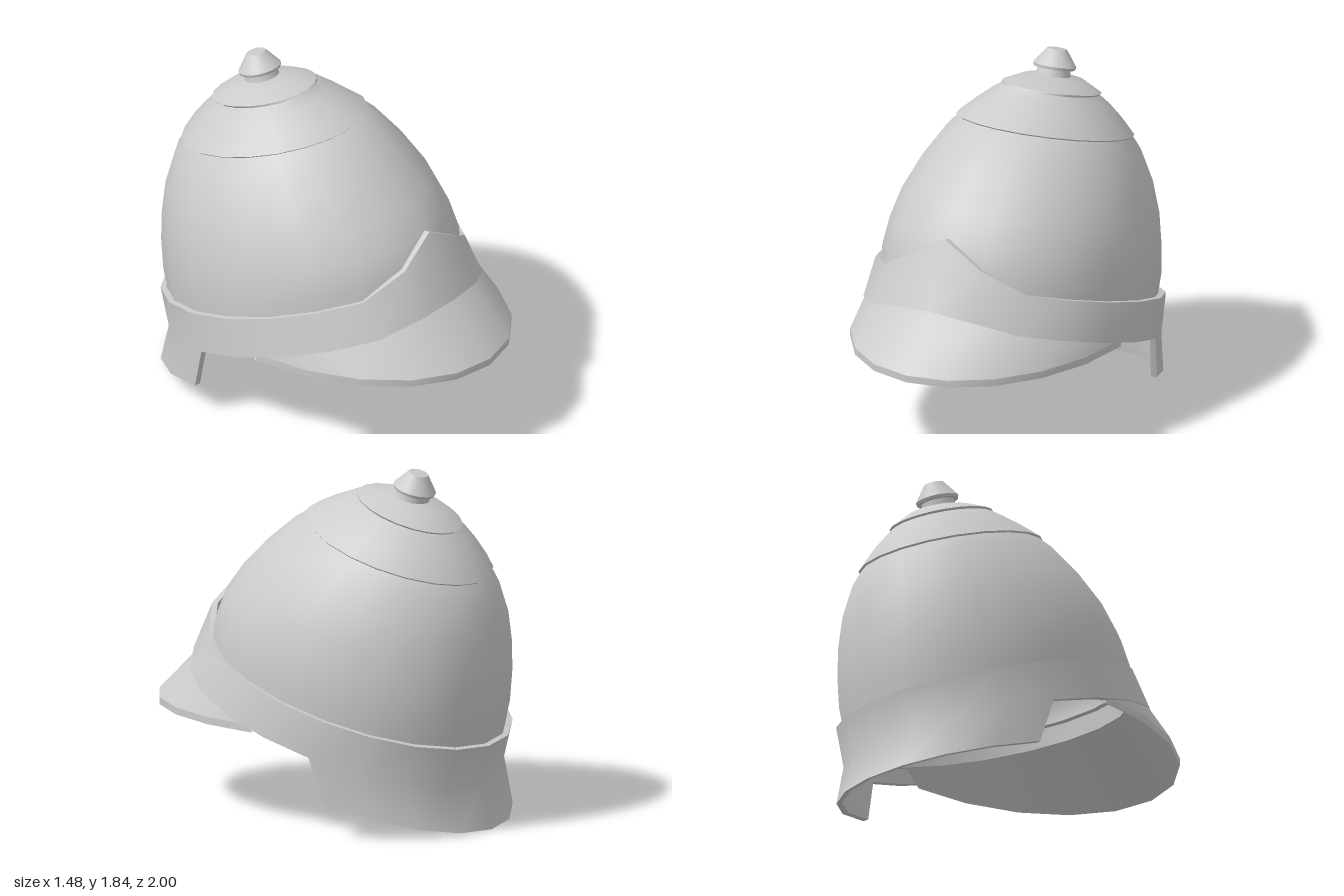
import * as THREE from 'three';
import { toCreasedNormals } from 'three/addons/utils/BufferGeometryUtils.js';

const STEP = Math.PI / 10; // 20 columns around the helmet
const T = 0.03; // thickness of band and neck guard

// Skin a row of cross-sections (lists of [x, y, z]).
// wrap joins the last section to the first; loop closes each section.
function loft(sections, { wrap = true, loop = true, crease = 0.75 } = {}) {
  const n = sections[0].length, pos = [];
  for (let i = 0; i < sections.length - (wrap ? 0 : 1); i++) {
    const s = sections[i], t = sections[(i + 1) % sections.length];
    for (let j = 0; j < n - (loop ? 0 : 1); j++) {
      const k = (j + 1) % n;
      pos.push(...s[j], ...t[j], ...t[k], ...s[j], ...t[k], ...s[k]);
    }
  }
  const geo = new THREE.BufferGeometry();
  geo.setAttribute('position', new THREE.Float32BufferAttribute(pos, 3));
  return toCreasedNormals(geo, crease);
}

// Point of an ellipse seen from above; y is a rule of z
function onEllipse(k, zc, h, w, yRule) {
  const z = zc + h * Math.cos(k * STEP);
  return [w * Math.sin(k * STEP), yRule(z), z];
}

const columns = (from, to, fn) =>
  Array.from({ length: to - from + 1 }, (_, i) => fn(from + i));

// Lower edge of the band, rising to a soft point in front
function bandBottom(k, inset = 0) {
  const p = onEllipse(k, -0.08, 0.85 - inset, 0.74 - inset, z => 0.525 + 0.315 * z);
  if (k === 0) p[1] = 0.82;
  if (k === 1 || k === 19) p[1] = 0.79;
  return p;
}

// Upper edge of the band, with a tall peak in front
function bandTop(k, inset = 0) {
  const p = onEllipse(k, -0.165, 0.82 - inset, 0.725 - inset, z => 0.745 + 0.31 * z);
  if (k === 0) { p[1] = 1.16; p[2] = 0.6 - inset; }
  if (k === 1 || k === 19) p[1] = 1.035;
  return p;
}

const neckBottom = (k, inset = 0) =>
  onEllipse(k, -0.146, 0.854 - inset, 0.705 - inset, z => 0.29 + 0.29 * z);

// Band section; low is the rule of its lowest edge
const bandSection = low => k => [
  low(k), bandBottom(k), bandTop(k), bandTop(k, T), bandBottom(k, T), low(k, T),
];

// Tilted dome rings: front z, front y, back z, back y, half width
const DOME = [
  [-0.46, 1.66, -0.53, 1.65, 0.02], // inner shell, from the top down
  [-0.11, 1.64, -0.78, 1.43, 0.26],
  [0.13, 1.52, -0.91, 1.19, 0.45],
  [0.29, 1.38, -0.95, 1.02, 0.54],
  [0.44, 1.23, -0.96, 0.87, 0.605],
  [0.54, 1.10, -0.96, 0.71, 0.635],
  [0.59, 0.98, -0.94, 0.54, 0.65],
  [0.59, 0.90, -0.90, 0.41, 0.63], // inner ledge
  [0.62, 0.90, -0.925, 0.41, 0.655],
  [0.63, 0.80, -0.90, 0.31, 0.645],
  [0.66, 0.80, -0.93, 0.31, 0.67], // rim
  [0.63, 1.00, -0.98, 0.55, 0.69], // outer shell, upwards
  [0.57, 1.14, -1.00, 0.72, 0.67],
  [0.47, 1.27, -1.00, 0.88, 0.64],
  [0.32, 1.42, -0.99, 1.04, 0.575],
  [0.16, 1.55, -0.95, 1.21, 0.485],
  [0.08, 1.59, -0.91, 1.287, 0.437],
  [0.09, 1.60, -0.92, 1.293, 0.445], // first overhanging edge
  [-0.02, 1.65, -0.86, 1.40, 0.365],
  [-0.13, 1.69, -0.80, 1.48, 0.295],
  [-0.19, 1.713, -0.755, 1.533, 0.242],
  [-0.20, 1.722, -0.765, 1.54, 0.25], // second overhanging edge
  [-0.32, 1.73, -0.67, 1.63, 0.155],
  [-0.48, 1.71, -0.52, 1.70, 0.02],
];

function domePoint([zf, yf, zb, yb, w], a) {
  const f = (1 + Math.cos(a)) / 2;
  return [w * Math.sin(a), yb + (yf - yb) * f, zb + (zf - zb) * f];
}

// Visor lines: lower and upper outer edge, and where it meets band and dome rim
const visorLow = k => onEllipse(k, 0.02, 0.98, 0.71, () => 0.507);
const visorHigh = k => onEllipse(k, 0.02, 0.98, 0.71, () => 0.545);
const visorRoot = k => onEllipse(k, -0.08, 0.83, 0.72, z => 0.555 + 0.315 * z);
const visorInner = k => onEllipse(k, -0.13, 0.77, 0.65, z => 0.6 + 0.31 * z);

export function createModel() {
  const group = new THREE.Group();
  const add = (name, geo, side = THREE.FrontSide) => {
    const mesh = new THREE.Mesh(geo, new THREE.MeshStandardMaterial({ color: 0xcccccc, side }));
    mesh.name = name;
    group.add(mesh);
    return mesh;
  };

  // Hollow dome with two small overhanging edges
  add('dome', loft(
    columns(0, 19, k => DOME.map(r => domePoint(r, k * STEP))),
    { loop: false, crease: 0.6 },
  ), THREE.DoubleSide);

  // Peaked band, running on into the neck guard at the back
  const plain = bandSection(bandBottom), guard = bandSection(neckBottom);
  add('bandAndNeckGuard', loft([
    ...columns(0, 6, plain), ...columns(6, 14, guard), ...columns(14, 19, plain),
  ]));

  // Sloping visor: smooth strips that meet at sharp edges
  const strips = {
    visorTop: [visorHigh, visorRoot],
    visorEdge: [visorLow, visorHigh],
    visorUnderside: [visorInner, visorLow],
  };
  for (const [name, lines] of Object.entries(strips)) {
    add(name, loft(
      columns(-5, 5, k => lines.map(line => line(k))),
      { wrap: false, loop: false, crease: 1.2 },
    ), THREE.DoubleSide);
  }

  // Tilted knob on top
  const profile = [[0.1, -0.06], [0.086, 0.045], [0.108, 0.045], [0.113, 0.06],
    [0.052, 0.145], [0, 0.147]].map(([r, y]) => new THREE.Vector2(r, y));
  const knob = add('knob', toCreasedNormals(new THREE.LatheGeometry(profile, 20), 0.7));
  knob.position.set(0, 1.685, -0.495);
  knob.rotation.x = -0.29;

  return group;
}
